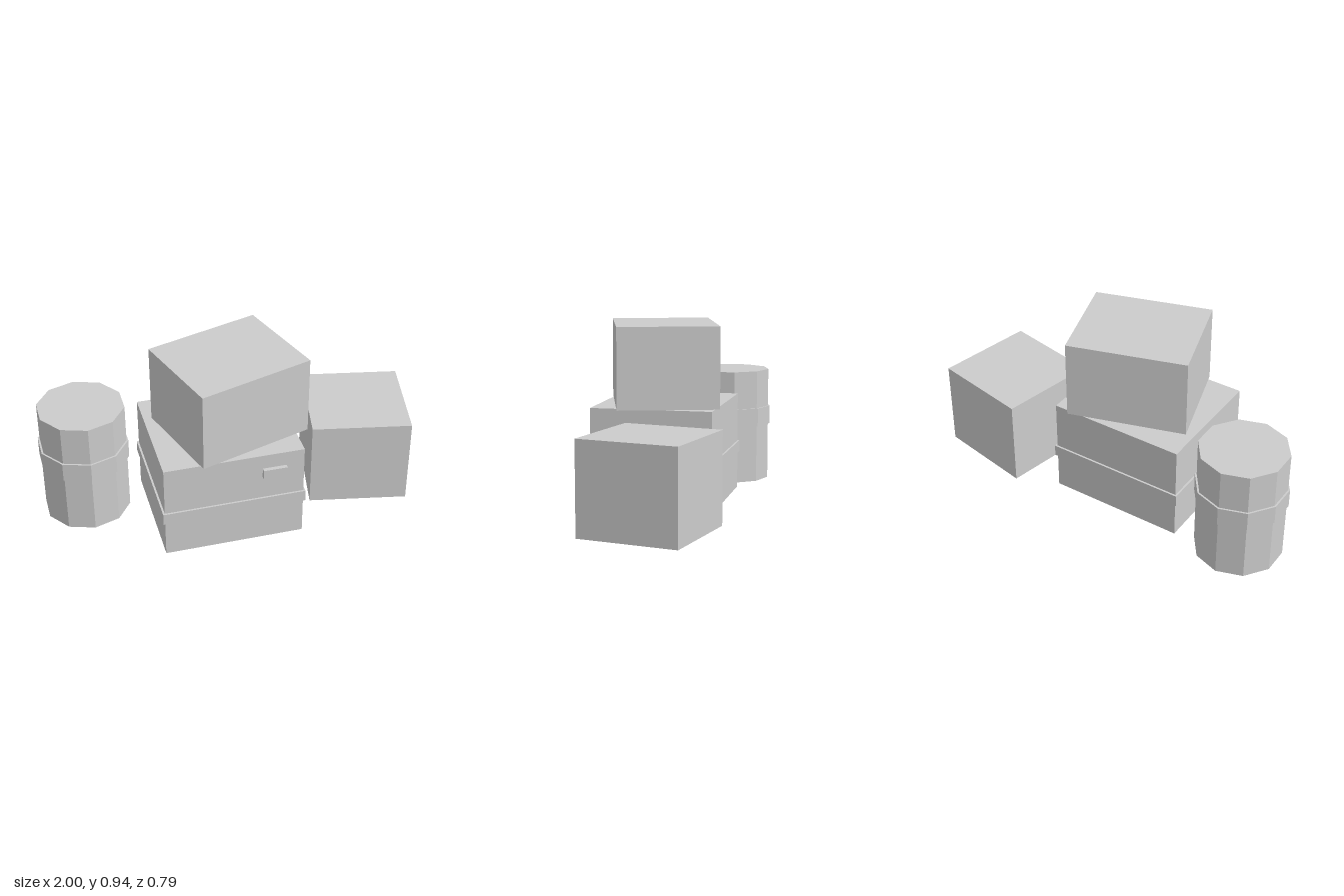
import * as THREE from 'three';

export function createModel() {
  const group = new THREE.Group();
  const grey = new THREE.MeshStandardMaterial({ color: 0xcccccc, flatShading: true });
  grey.name = 'pale grey';

  // Adds a part standing at height y0
  function add(name, geometry, x, y0, z, height, turn = 0) {
    const mesh = new THREE.Mesh(geometry, grey);
    mesh.name = name;
    mesh.position.set(x, y0 + height / 2, z);
    mesh.rotation.y = turn;
    group.add(mesh);
  }
  const box = (name, w, h, d, x, y0, z, turn) =>
    add(name, new THREE.BoxGeometry(w, h, d), x, y0, z, h, turn);
  const drum = (name, r, h, x, y0, z) =>
    add(name, new THREE.CylinderGeometry(r, r, h, 10), x, y0, z, h);

  // Lower crate with a strap and a front plate
  box('lowerCrate', 0.73, 0.524, 0.633, -0.095, 0, 0.052);
  box('crateStrap', 0.75, 0.062, 0.653, -0.095, 0.2, 0.052);
  box('cratePlate', 0.125, 0.051, 0.03, 0.113, 0.393, 0.375);

  // Turned crates: one stacked, one on the ground
  box('upperCrate', 0.625, 0.42, 0.521, -0.04, 0.524, 0.053, 0.3);
  box('sideCrate', 0.523, 0.472, 0.523, 0.692, 0, -0.052, -0.2);

  // Ten-sided barrel with a hoop
  drum('barrel', 0.2285, 0.629, -0.774, 0, -0.157);
  drum('barrelHoop', 0.238, 0.102, -0.774, 0.316, -0.157);

  return group;
}
